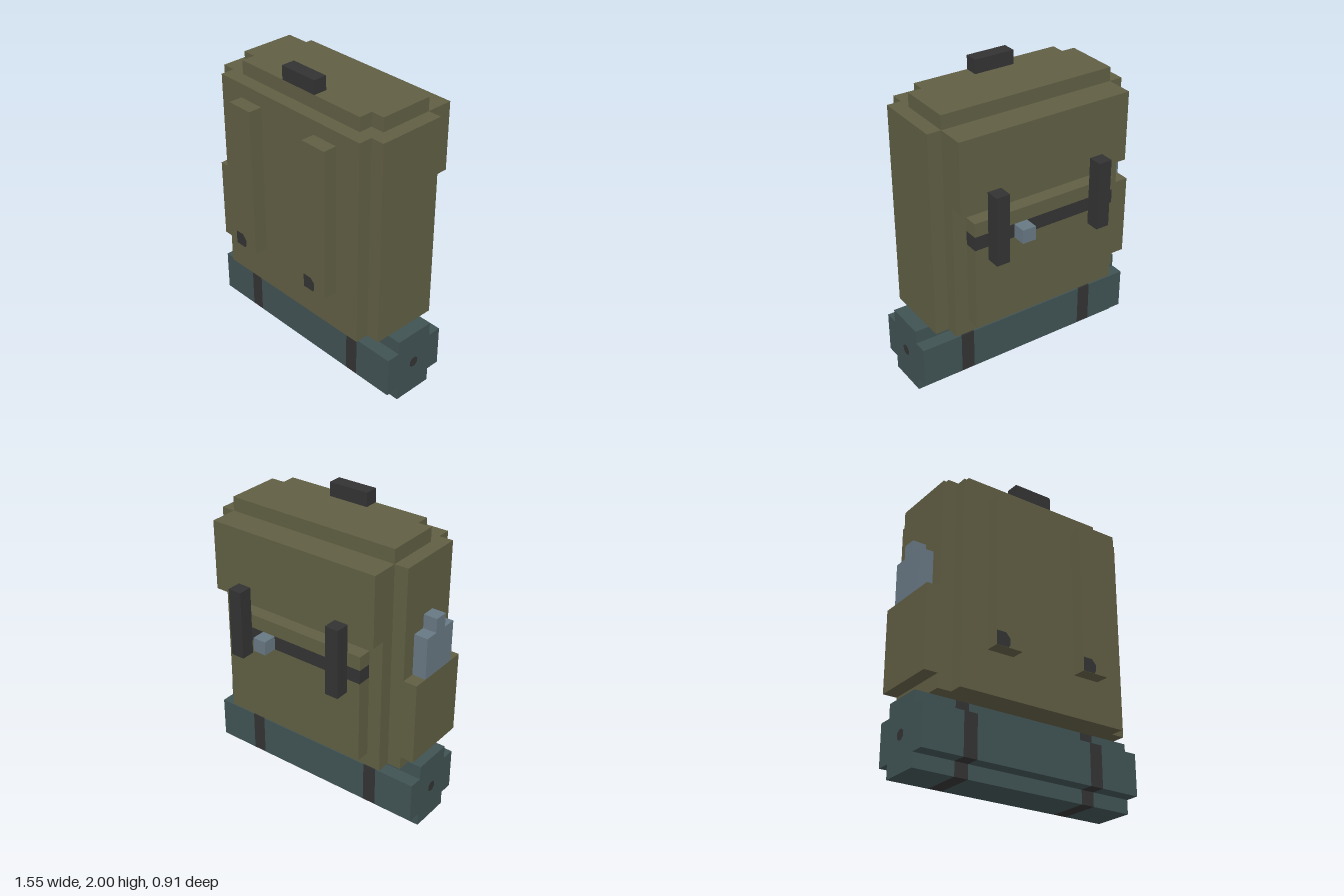
import * as THREE from 'three';

const U = 1 / 11; // one block of the grid the model is built on

function flat(name, hex) {
  const m = new THREE.MeshStandardMaterial({ color: hex });
  m.name = name;
  return m;
}

export function createModel() {
  const canvas = flat('olive canvas', 0x605e43);
  const bedding = flat('teal bedding', 0x405253);
  const leather = flat('dark leather', 0x343334);
  const steel = flat('blue steel', 0x687883);

  const model = new THREE.Group();
  model.name = 'backpack';

  const add = (name, geometry, material) => {
    const mesh = new THREE.Mesh(geometry, material);
    mesh.name = name;
    model.add(mesh);
    return mesh;
  };

  // Box given by its limits in blocks
  const block = (name, material, [x0, x1], [y0, y1], [z0, z1]) => {
    const g = new THREE.BoxGeometry((x1 - x0) * U, (y1 - y0) * U, (z1 - z0) * U);
    g.translate((x0 + x1) / 2 * U, (y0 + y1) / 2 * U, (z0 + z1) / 2 * U);
    return add(name, g, material);
  };

  const outline = (points) =>
    new THREE.Shape(points.map(([a, b]) => new THREE.Vector2(a * U, b * U)));

  // Plan outline (x, z) raised from y0 to y1
  const raise = (name, material, plan, y0, y1) => {
    const g = new THREE.ExtrudeGeometry(outline(plan.map(([x, z]) => [x, -z])),
      { depth: (y1 - y0) * U, bevelEnabled: false });
    g.rotateX(-Math.PI / 2).translate(0, y0 * U, 0);
    return add(name, g, material);
  };

  // Side outline (z, y) stretched from x0 to x1
  const stretch = (name, material, side, x0, x1) => {
    const g = new THREE.ExtrudeGeometry(outline(side.map(([z, y]) => [-z, y])),
      { depth: (x1 - x0) * U, bevelEnabled: false });
    g.rotateY(Math.PI / 2).translate(x0 * U, 0, 0);
    return add(name, g, material);
  };

  // Main bag with stepped corners
  raise('body', canvas, [
    [-6.5, -3], [6.5, -3], [6.5, -2], [7.5, -2], [7.5, 3], [6.5, 3],
    [6.5, 4], [-6.5, 4], [-6.5, 3], [-7.5, 3], [-7.5, -2], [-6.5, -2],
  ], 5, 20);
  raise('lid', canvas, [
    [-6.5, -2], [6.5, -2], [6.5, 2], [5.5, 2],
    [5.5, 3], [-5.5, 3], [-5.5, 2], [-6.5, 2],
  ], 20, 21);
  block('carryHandle', leather, [-1.5, 1.5], [21, 22], [2, 3]);

  // Outer face: flap, pocket with a belt, closing straps and buckle
  block('flap', canvas, [-6.5, 6.5], [15, 20], [-4, -3]);
  block('pocketLower', canvas, [-5.5, 5.5], [6, 12], [-4, -3]);
  block('pocketBelt', leather, [-5.5, 5.5], [12, 13], [-4, -3]);
  block('pocketUpper', canvas, [-5.5, 5.5], [13, 14], [-4, -3]);
  for (const x of [-4, 4]) {
    block('closingStrap', leather, [x - 0.5, x + 0.5], [11, 16], [-5, -4]);
  }
  block('buckle', steel, [1.5, 2.5], [12, 13], [-5, -4]);

  // Shoulder straps, each with a dark tab in its lower corner
  const tab = new THREE.Shape();
  tab.moveTo(0, 0);
  tab.lineTo(0.9 * U, 0);
  tab.lineTo(1.02 * U, 0.2 * U);
  tab.lineTo(1.02 * U, 0.65 * U);
  tab.lineTo(0.7 * U, U);
  tab.lineTo(0, U);
  for (const x of [-4.5, 2.5]) {
    block('shoulderStrap', canvas, [x, x + 2], [8, 19], [4, 5]);
    add('strapTab', new THREE.ShapeGeometry(tab), leather)
      .position.set(x * U, 8 * U, 5 * U + 0.002);
  }

  // Side pocket holding a flask
  block('sidePocket', canvas, [-8.5, -7.5], [6, 12], [-2, 3]);
  block('flask', steel, [-8.5, -7.5], [12, 15], [-1, 2]);
  block('flaskCap', steel, [-8.5, -7.5], [15, 16], [0, 1]);

  // Bedroll with two straps around it
  const cross = [
    [-1, 0], [2, 0], [2, 1], [3, 1], [3, 4], [2, 4],
    [2, 5], [-1, 5], [-1, 4], [-2, 4], [-2, 1], [-1, 1],
  ];
  const cuts = [-8.5, -5.5, -4.5, 4.5, 5.5, 8.5];
  for (let i = 0; i < 5; i++) {
    const strap = i % 2 === 1;
    stretch(strap ? 'bedrollStrap' : 'bedroll', strap ? leather : bedding,
      cross, cuts[i], cuts[i + 1]);
  }

  // Dark core showing at each end of the roll
  for (const s of [-1, 1]) {
    const dot = add('bedrollCore', new THREE.CircleGeometry(0.4 * U, 8, Math.PI / 8), leather);
    dot.rotation.y = s * Math.PI / 2;
    dot.position.set(s * (8.5 * U + 0.002), 2.5 * U, 0.5 * U);
  }

  return model;
}
